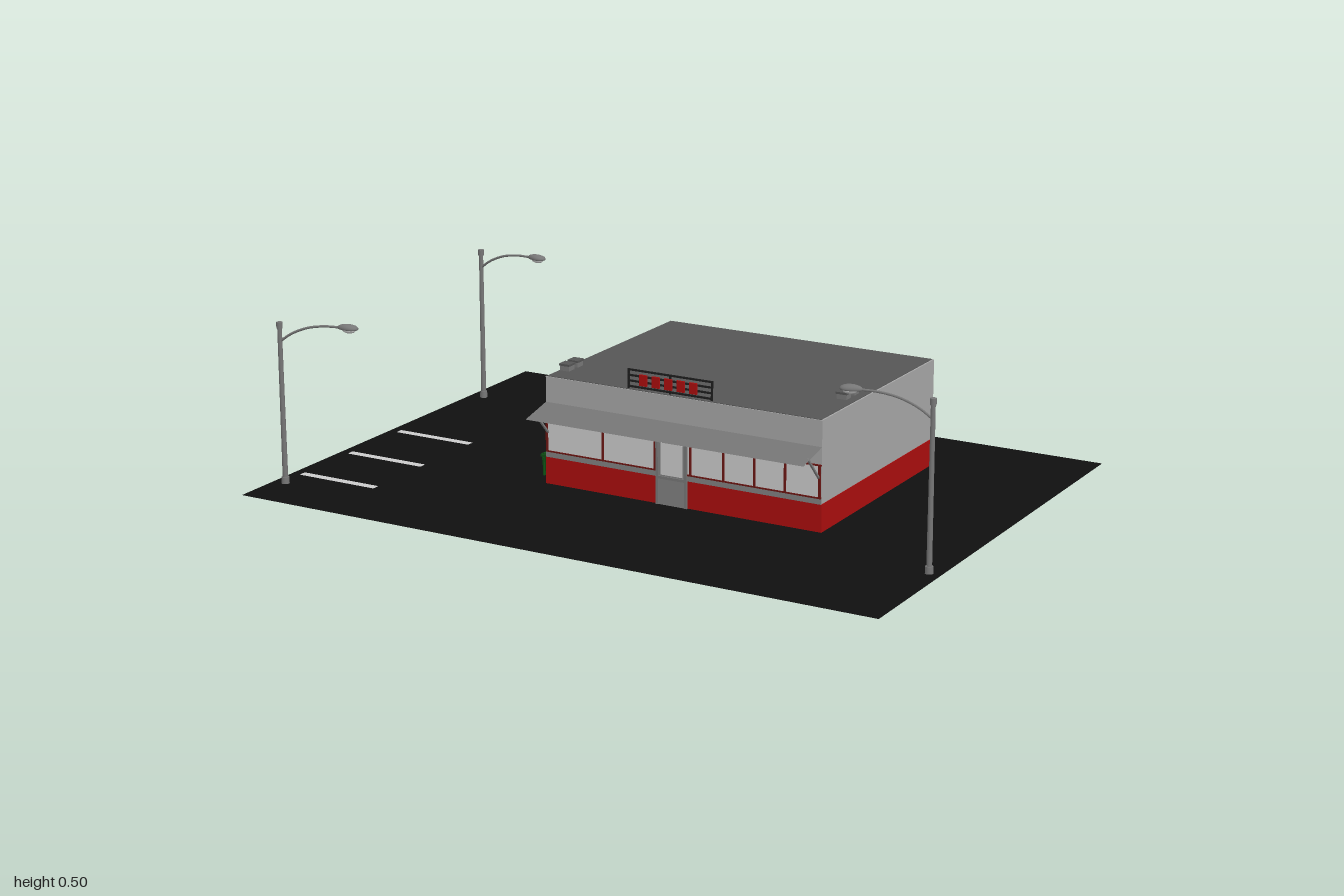
import * as THREE from 'three';

const mat = (color, extra = {}) => new THREE.MeshStandardMaterial({ color, ...extra });
const grey = mat(0xcccccc), wall = mat(0xa6a6a6), roofGrey = mat(0x555555), trim = mat(0x808080);
const red = mat(0xaa0e0e), frameRed = mat(0x6a1512), dark = mat(0x1c1c1c), green = mat(0x0e5214);
const metal = mat(0x777777), glass = mat(0xc8c8c8);
const asphalt = mat(0x101010, { side: THREE.DoubleSide });
const awningMat = mat(0x757575, { side: THREE.DoubleSide });

function add(parent, name, geometry, material, x = 0, y = 0, z = 0) {
  const mesh = new THREE.Mesh(geometry, material);
  mesh.name = name;
  mesh.position.set(x, y, z);
  parent.add(mesh);
  return mesh;
}

// Box given by its minimum and maximum on each axis
function span(parent, name, material, x0, x1, y0, y1, z0, z1) {
  return add(parent, name, new THREE.BoxGeometry(x1 - x0, y1 - y0, z1 - z0), material,
    (x0 + x1) / 2, (y0 + y1) / 2, (z0 + z1) / 2);
}

function group(parent, name) {
  const g = new THREE.Group();
  g.name = name;
  parent.add(g);
  return g;
}

function buildLot(root) {
  const lot = group(root, 'parkingLot');
  add(lot, 'asphalt', new THREE.PlaneGeometry(2, 1.485).rotateX(-Math.PI / 2), asphalt, 0, 0.012, 0);
  for (const z of [0.015, 0.265, 0.5])
    add(lot, 'parkingLine', new THREE.PlaneGeometry(0.26, 0.025).rotateX(-Math.PI / 2), grey, -0.84, 0.0135, z);
}

function buildStore(root) {
  const store = group(root, 'store');
  span(store, 'redBase', red, -0.312, 0.572, 0.012, 0.092, -0.49, 0.222);
  span(store, 'walls', wall, -0.31, 0.57, 0.092, 0.33, -0.488, 0.22);
  span(store, 'roof', roofGrey, -0.307, 0.565, 0.32, 0.3315, -0.485, 0.217);
  span(store, 'floor', trim, -0.31, 0.57, 0.009, 0.0115, -0.488, 0.22);

  // Window band, sill and dividers
  span(store, 'windowSill', trim, -0.31, 0.57, 0.092, 0.11, 0.22, 0.223);
  span(store, 'windows', glass, -0.305, 0.565, 0.11, 0.203, 0.22, 0.222);
  span(store, 'windowHead', frameRed, -0.31, 0.57, 0.201, 0.205, 0.22, 0.225);
  span(store, 'windowFoot', frameRed, -0.31, 0.57, 0.108, 0.112, 0.22, 0.225);
  for (const x of [-0.306, -0.12, 0.05, 0.163, 0.268, 0.365, 0.46, 0.565])
    span(store, 'windowDivider', frameRed, x - 0.003, x + 0.003, 0.11, 0.203, 0.22, 0.226);

  // Door with a glass upper half
  const door = group(store, 'door');
  span(door, 'doorPanel', trim, 0.06, 0.15, 0.012, 0.203, 0.22, 0.226);
  span(door, 'doorGlass', glass, 0.07, 0.14, 0.1, 0.193, 0.224, 0.227);
  for (const x of [0.058, 0.15])
    span(door, 'doorPost', metal, x - 0.004, x + 0.004, 0.012, 0.203, 0.22, 0.229);
  span(door, 'doorRail', metal, 0.06, 0.15, 0.088, 0.096, 0.224, 0.229);

  // Thin awning sloping outwards, held by diagonal struts
  const drop = 0.025, reach = 0.11;
  const awning = add(store, 'awning', new THREE.PlaneGeometry(0.88, Math.hypot(drop, reach)),
    awningMat, 0.13, 0.2425, 0.274);
  awning.rotation.x = -Math.PI / 2 + Math.atan2(drop, reach);
  for (const x of [-0.303, 0.563]) {
    const strut = add(store, 'awningStrut', new THREE.BoxGeometry(0.006, 0.1, 0.005), trim, x, 0.202, 0.256);
    strut.rotation.x = Math.atan2(0.07, 0.075);
  }

  // Rooftop vents
  for (const [x, z] of [[-0.29, 0.09], [-0.29, 0.137], [0.525, -0.047], [0.525, 0.003]]) {
    span(store, 'roofVent', metal, x - 0.015, x + 0.015, 0.33, 0.348, z - 0.015, z + 0.015);
    span(store, 'ventCap', roofGrey, x - 0.017, x + 0.017, 0.346, 0.352, z - 0.017, z + 0.017);
  }
}

// Roof sign: open dark rails with plain red panels
function buildSign(root) {
  const sign = group(root, 'roofSign');
  for (const y of [0.338, 0.354, 0.37, 0.386])
    span(sign, 'signRail', dark, -0.045, 0.225, y - 0.0025, y + 0.0025, 0.208, 0.213);
  for (const x of [-0.043, 0.09, 0.223])
    span(sign, 'signPost', dark, x - 0.0025, x + 0.0025, 0.33, 0.388, 0.206, 0.211);
  for (let i = 0; i < 5; i++) {
    const x = 0.008 + i * 0.04;
    span(sign, 'signPanel', red, x - 0.012, x + 0.012, 0.345, 0.377, 0.213, 0.219);
  }
}

function buildBin(root, x, z, turn) {
  const bin = group(root, 'trashBin');
  bin.position.set(x, 0.008, z);
  bin.rotation.y = turn;
  const body = new THREE.CylinderGeometry(0.024, 0.019, 0.06, 4, 1).rotateY(Math.PI / 4).translate(0, 0.03, 0);
  add(bin, 'binBody', body, mat(0x0e5214, { flatShading: true }));
  add(bin, 'binLid', new THREE.BoxGeometry(0.04, 0.007, 0.04), green, 0, 0.0635, 0);
  add(bin, 'binLidTop', new THREE.BoxGeometry(0.032, 0.004, 0.032), green, 0, 0.068, 0);
  for (const s of [-1, 1]) {
    add(bin, 'binRib', new THREE.BoxGeometry(0.004, 0.054, 0.038), green, s * 0.009, 0.03, 0);
    add(bin, 'binWheel', new THREE.CylinderGeometry(0.005, 0.005, 0.004, 10).rotateZ(Math.PI / 2),
      dark, s * 0.014, 0.005, -0.015);
  }
}

function buildLamp(root, x, z, headX, headZ) {
  const lamp = group(root, 'streetLamp');
  lamp.position.set(x, 0, z);
  lamp.rotation.y = Math.atan2(z - headZ, headX - x);
  const reach = Math.hypot(headX - x, headZ - z);
  add(lamp, 'pole', new THREE.CylinderGeometry(0.0065, 0.008, 0.48, 12), metal, 0, 0.24, 0);
  add(lamp, 'poleBase', new THREE.CylinderGeometry(0.011, 0.012, 0.032, 12), metal, 0, 0.016, 0);
  add(lamp, 'poleCap', new THREE.CylinderGeometry(0.009, 0.009, 0.018, 12), metal, 0, 0.48, 0);
  const path = new THREE.CatmullRomCurve3([
    [0, 0.432], [0.035, 0.457], [0.085, 0.479], [0.14, 0.49], [reach - 0.025, 0.492],
  ].map(([px, py]) => new THREE.Vector3(px, py, 0)));
  add(lamp, 'arm', new THREE.TubeGeometry(path, 24, 0.0035, 8), metal);

  // Teardrop hood, narrower towards the arm, with a lens beneath
  const hood = new THREE.SphereGeometry(1, 20, 12);
  const p = hood.attributes.position;
  for (let i = 0; i < p.count; i++) {
    const w = 0.8 + 0.25 * p.getX(i);
    p.setXYZ(i, p.getX(i) * 0.032, Math.max(p.getY(i), -0.25) * 0.012, p.getZ(i) * 0.021 * w);
  }
  hood.computeVertexNormals();
  add(lamp, 'lampHood', hood, metal, reach, 0.492, 0);
  const lens = new THREE.SphereGeometry(1, 16, 8).scale(0.021, 0.01, 0.013);
  add(lamp, 'lampLens', lens, grey, reach + 0.004, 0.488, 0);
}

export function createModel() {
  const root = new THREE.Group();
  root.name = 'cornerStore';
  buildLot(root);
  buildStore(root);
  buildSign(root);
  for (const [x, z, turn] of [[-0.341, 0.015, 0.1], [-0.336, 0.09, 0.3], [-0.345, 0.147, -0.15],
    [-0.05, -0.515, 0.2], [0.02, -0.52, -0.1]])
    buildBin(root, x, z, turn);
  buildLamp(root, -0.953, -0.425, -0.735, -0.403);
  buildLamp(root, -0.96, 0.592, -0.745, 0.562);
  buildLamp(root, 0.965, 0.372, 0.747, 0.407);
  return root;
}
